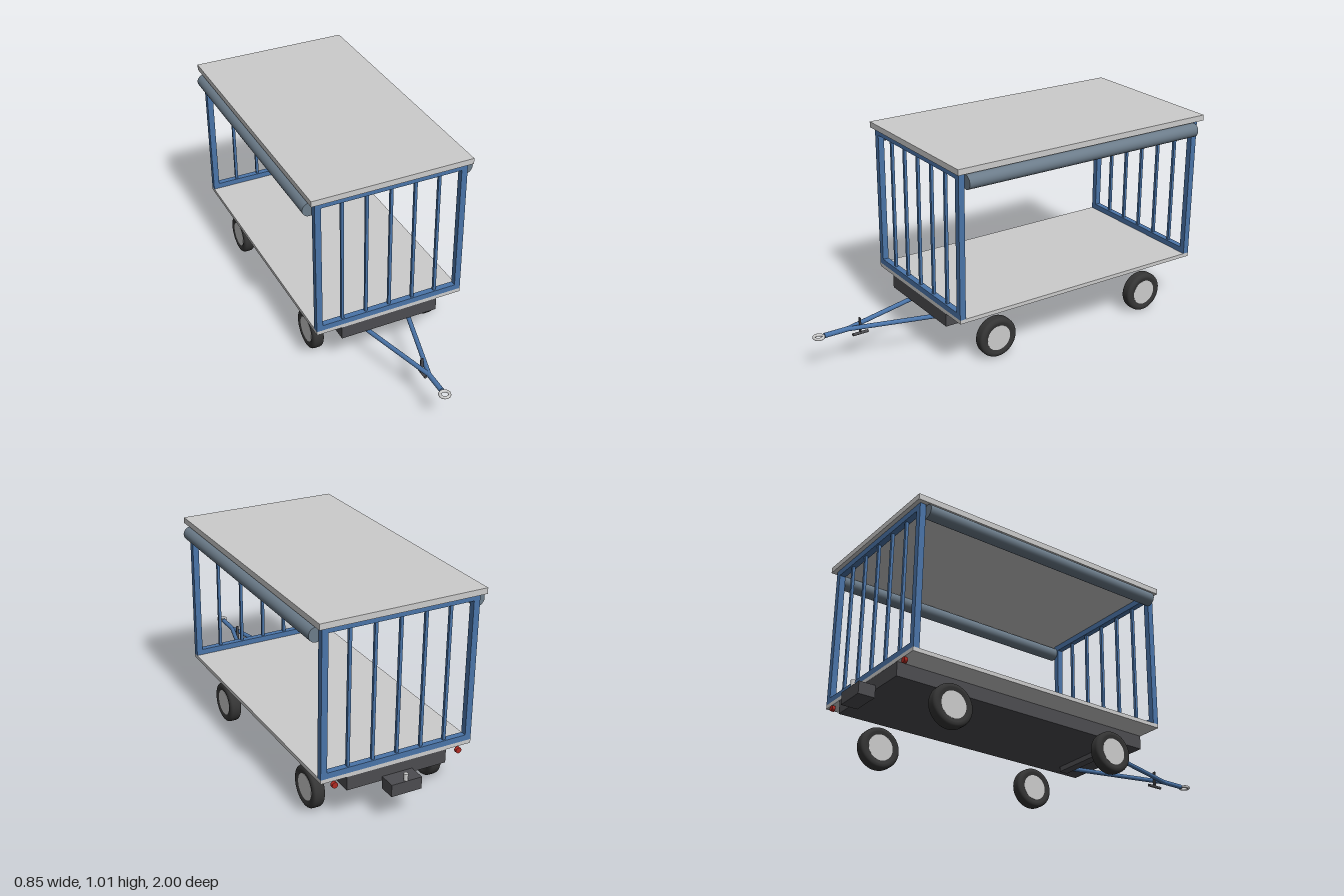
import * as THREE from 'three';

const mat = (color) => new THREE.MeshStandardMaterial({ color });

export function createModel() {
  const model = new THREE.Group();
  const grey = mat(0xcccccc), blue = mat(0x4a74a8), dark = mat(0x4c4c50);
  const rubber = mat(0x353535), canvas = mat(0x6c7c8a), red = mat(0xb02a22);

  const add = (name, geometry, material, x = 0, y = 0, z = 0, parent = model) => {
    const mesh = new THREE.Mesh(geometry, material);
    mesh.name = name;
    mesh.position.set(x, y, z);
    parent.add(mesh);
    return mesh;
  };
  // Box given by its limits on each axis
  const box = (name, material, [x0, x1], [y0, y1], [z0, z1], parent = model) =>
    add(name, new THREE.BoxGeometry(x1 - x0, y1 - y0, z1 - z0), material,
      (x0 + x1) / 2, (y0 + y1) / 2, (z0 + z1) / 2, parent);
  // Round bar between two points
  const rod = (name, material, a, b, radius, sides = 20) => {
    const from = new THREE.Vector3(...a), to = new THREE.Vector3(...b);
    const dir = to.clone().sub(from);
    const mesh = add(name, new THREE.CylinderGeometry(radius, radius, dir.length(), sides), material);
    mesh.position.copy(from).add(to).multiplyScalar(0.5);
    mesh.quaternion.setFromUnitVectors(new THREE.Vector3(0, 1, 0), dir.normalize());
    return mesh;
  };

  // Roof, deck and chassis
  box('roof', grey, [-0.4, 0.4], [0.987, 1.015], [-0.94, 0.46]);
  box('deck', grey, [-0.378, 0.378], [0.262, 0.281], [-0.92, 0.445]);
  box('chassis', dark, [-0.25, 0.25], [0.195, 0.262], [-0.919, 0.444]);
  box('drawbarMount', dark, [-0.175, 0.175], [0.17, 0.195], [0.283, 0.328]);

  // Barred frames at both ends
  for (const [name, z0] of [['frontFrame', 0.415], ['rearFrame', -0.92]]) {
    const frame = new THREE.Group();
    frame.name = name;
    model.add(frame);
    const z = [z0, z0 + 0.03];
    for (const s of [-1, 1]) {
      const x = s * 0.363;
      box('post', blue, [x - 0.015, x + 0.015], [0.281, 0.987], z, frame);
    }
    box('topRail', blue, [-0.348, 0.348], [0.957, 0.987], z, frame);
    box('bottomRail', blue, [-0.348, 0.348], [0.281, 0.309], z, frame);
    for (let i = -2; i <= 2; i++) {
      const x = i * 0.121;
      box('bar', blue, [x - 0.007, x + 0.007], [0.309, 0.957], [z0 + 0.008, z0 + 0.022], frame);
    }
  }

  // Tyre cross-section (radius, offset along the axle), with rounded shoulders
  const section = new THREE.Shape();
  section.moveTo(0.062, -0.025);
  section.lineTo(0.078, -0.03);
  section.bezierCurveTo(0.092, -0.03, 0.1, -0.024, 0.1, -0.013);
  section.lineTo(0.1, 0.013);
  section.bezierCurveTo(0.1, 0.024, 0.092, 0.03, 0.078, 0.03);
  section.lineTo(0.062, 0.025);
  const tyre = new THREE.LatheGeometry(section.getPoints(8), 48).rotateZ(Math.PI / 2);
  const hub = new THREE.CylinderGeometry(0.063, 0.063, 0.052, 40).rotateZ(Math.PI / 2);

  // Parts mirrored left and right
  for (const s of [-1, 1]) {
    const side = s > 0 ? 'left' : 'right';
    for (const [end, z] of [['Front', 0.203], ['Rear', -0.68]]) {
      const wheel = new THREE.Group();
      wheel.name = side + end + 'Wheel';
      wheel.position.set(s * 0.303, 0.1, z);
      model.add(wheel);
      add('tyre', tyre, rubber, 0, 0, 0, wheel);
      add('hub', hub, grey, 0, 0, 0, wheel);
    }
    rod(side + 'RolledCurtain', canvas, [s * 0.389, 0.946, -0.89], [s * 0.389, 0.946, 0.415], 0.034, 32);
    rod(side + 'TailLight', red, [s * 0.313, 0.243, -0.928], [s * 0.313, 0.243, -0.912], 0.014, 24);
    rod(side + 'DrawbarArm', blue, [s * 0.147, 0.184, 0.29], [0, 0.184, 0.83], 0.011);
  }

  // Drawbar nose, towing eye and handle
  rod('drawbarNose', blue, [0, 0.184, 0.815], [0, 0.184, 0.943], 0.012);
  const eye = add('towingEye', new THREE.TorusGeometry(0.022, 0.007, 12, 32), grey, 0, 0.184, 0.971);
  eye.rotation.x = Math.PI / 2;
  rod('handleGrip', dark, [0, 0.145, 0.72], [0, 0.145, 0.8], 0.007);
  box('handleLever', dark, [-0.007, 0.007], [0.145, 0.224], [0.757, 0.763]);

  // Rear hitch with its pin
  box('rearHitch', dark, [-0.076, 0.076], [0.156, 0.215], [-1, -0.919]);
  rod('hitchPin', grey, [0, 0.2, -0.989], [0, 0.248, -0.989], 0.01);

  return model;
}
